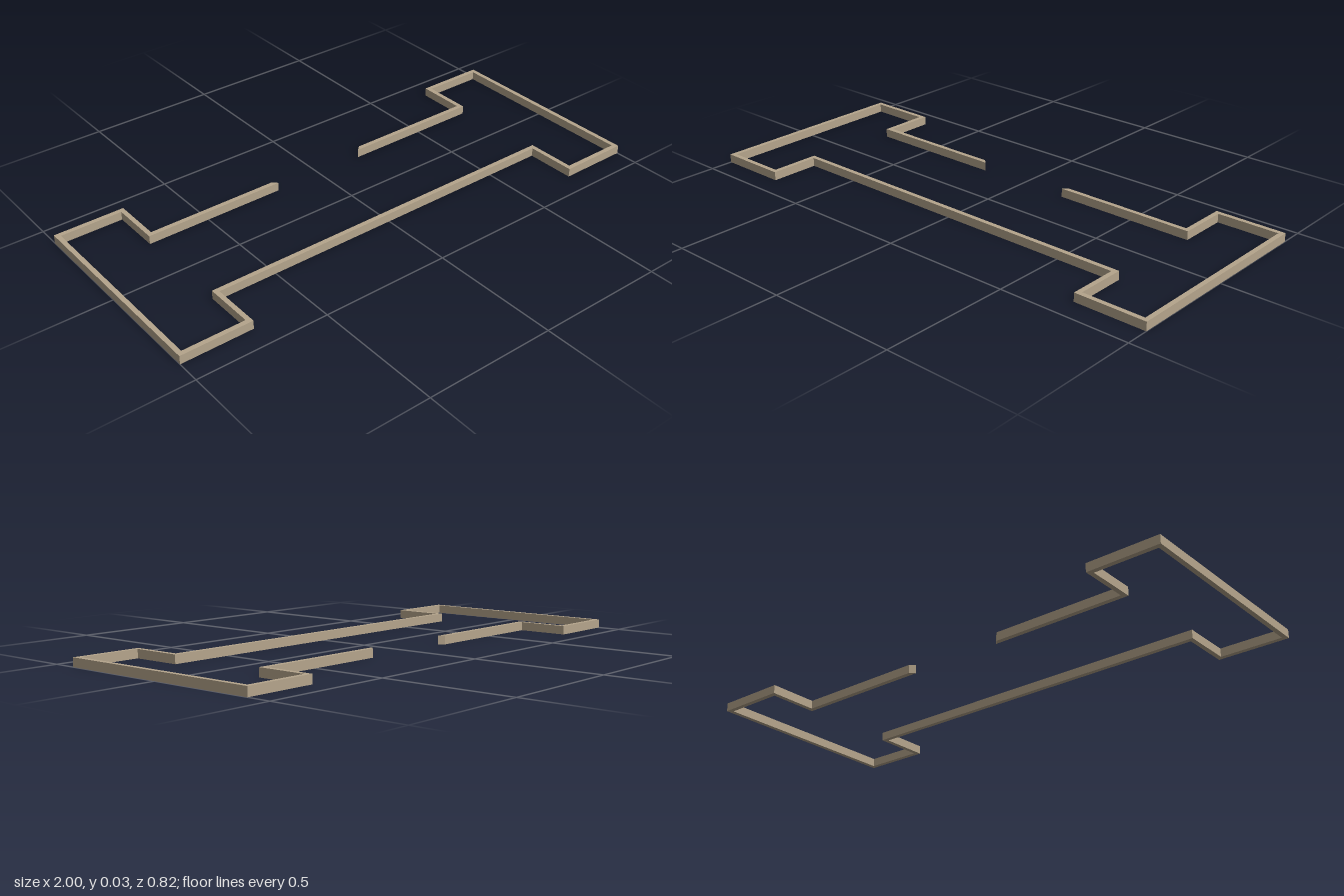
import * as THREE from 'three';

const HEIGHT = 0.033;

// Right half of each wall face, from the back opening round to the front (x, depth towards the back)
const outerHalf = [[0.208, 0.216], [0.725, 0.216], [0.725, 0.41], [1, 0.41],
  [1, -0.41], [0.725, -0.41], [0.725, -0.216]];
const innerHalf = [[0.19, 0.198], [0.743, 0.198], [0.743, 0.392], [0.982, 0.392],
  [0.982, -0.392], [0.743, -0.392], [0.743, -0.198]];

// Complete a half by mirroring it across x = 0
const fullRun = (half) => [...half, ...half.map(([x, y]) => [-x, y]).reverse()];

export function createModel() {
  const group = new THREE.Group();
  group.name = 'lowPerimeterWall';
  const material = new THREE.MeshStandardMaterial({ color: 0xb5a58c });

  // One continuous band: along the outer face, then back along the inner face
  const outline = [...fullRun(outerHalf), ...fullRun(innerHalf).reverse()];
  const shape = new THREE.Shape(outline.map(([x, y]) => new THREE.Vector2(x, y)));
  const geometry = new THREE.ExtrudeGeometry(shape, { depth: HEIGHT, bevelEnabled: false });
  geometry.rotateX(-Math.PI / 2);

  const wall = new THREE.Mesh(geometry, material);
  wall.name = 'wall';
  group.add(wall);
  return group;
}
